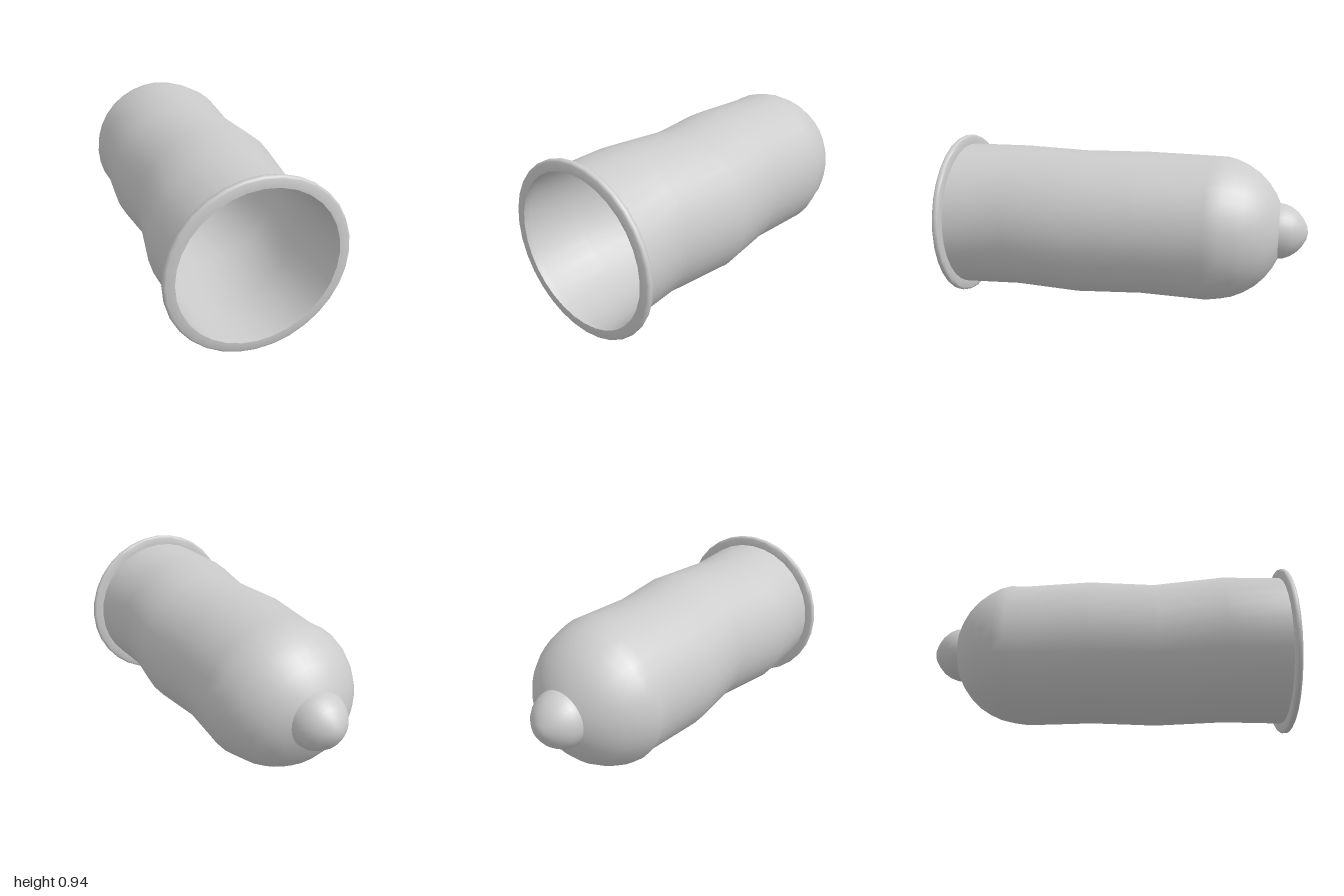
import * as THREE from 'three';
import { mergeVertices, toCreasedNormals } from 'three/addons/utils/BufferGeometryUtils.js';

const SIDES = 32;
const AXIS_Y = 0.47;

// Turns rows of [z, radius, sideways shift] into a ringed surface along z.
function ringSurface(rows) {
  const points = rows.map(([z, r]) => new THREE.Vector2(r, -z));
  const geometry = new THREE.LatheGeometry(points, SIDES);
  geometry.rotateX(-Math.PI / 2);
  const pos = geometry.attributes.position;
  for (let i = 0; i < pos.count; i++) {
    pos.setX(i, pos.getX(i) + (rows[i % rows.length][2] || 0));
  }
  geometry.deleteAttribute('uv');
  geometry.deleteAttribute('normal');
  const merged = mergeVertices(geometry, 1e-4);
  merged.computeVertexNormals();
  return merged;
}

export function createModel() {
  const group = new THREE.Group();
  group.name = 'sheath';
  const material = new THREE.MeshStandardMaterial({ color: 0xcccccc, side: THREE.DoubleSide });

  function add(name, geometry) {
    const mesh = new THREE.Mesh(geometry, material);
    mesh.name = name;
    mesh.position.y = AXIS_Y;
    group.add(mesh);
  }

  // Wavy tube that closes into a dome, open towards the tip
  add('body', ringSurface([
    [0.98, 0.414, -0.003], [0.64, 0.411, -0.025], [0.26, 0.406, 0.035],
    [-0.1, 0.404, -0.01], [-0.47, 0.401, 0.02], [-0.55, 0.395, 0],
    [-0.61, 0.38], [-0.67, 0.352], [-0.73, 0.312],
    [-0.78, 0.262], [-0.82, 0.205], [-0.845, 0.153],
  ]));

  // Small rounded bulb at the closed end
  add('tip', ringSurface([
    [-0.845, 0.153], [-0.875, 0.149], [-0.91, 0.134],
    [-0.945, 0.108], [-0.972, 0.075], [-0.992, 0.038], [-1, 0],
  ]));

  // Flat rim with rounded outer edge around the opening
  add('rim', toCreasedNormals(ringSurface([
    [0.965, 0.412], [1, 0.412], [1, 0.456], [0.995, 0.465], [0.988, 0.468],
    [0.977, 0.468], [0.969, 0.465], [0.965, 0.456], [0.965, 0.412],
  ]), 0.9));

  return group;
}
